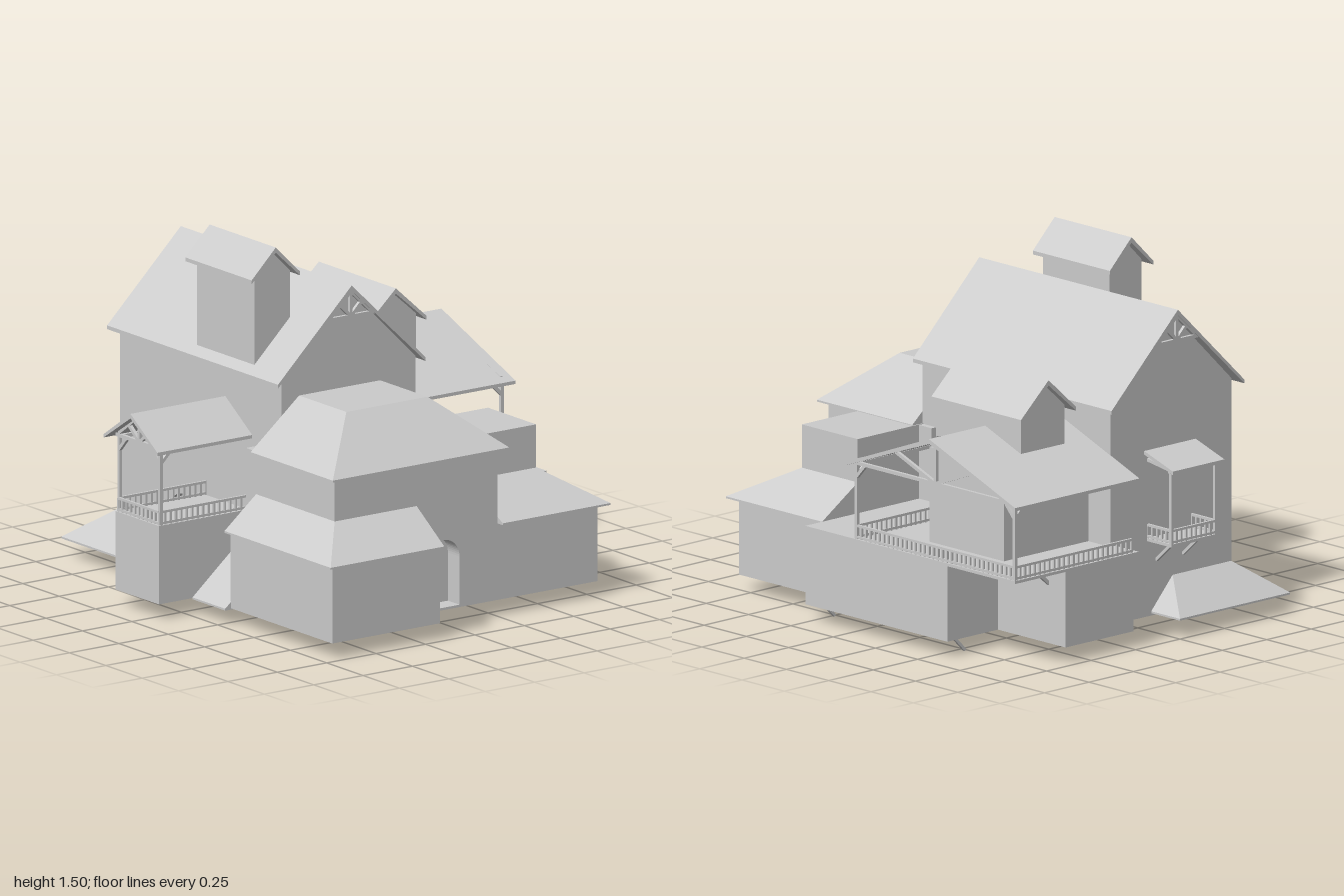
import * as THREE from 'three';
import { mergeGeometries } from 'three/addons/utils/BufferGeometryUtils.js';

const material = new THREE.MeshStandardMaterial({ color: 0xcccccc, flatShading: true });
const V = (x, y, z) => new THREE.Vector3(x, y, z);

export function createModel() {
  const model = new THREE.Group();
  const add = (name, geo) => {
    const mesh = new THREE.Mesh(geo, material);
    mesh.name = name;
    model.add(mesh);
    return mesh;
  };

  // Box given by its limits on each axis
  const boxGeo = (x0, x1, y0, y1, z0, z1) =>
    new THREE.BoxGeometry(x1 - x0, y1 - y0, z1 - z0)
      .translate((x0 + x1) / 2, (y0 + y1) / 2, (z0 + z1) / 2);
  const box = (name, ...limits) => add(name, boxGeo(...limits));

  // Square timber between two points
  const beam = (a, b, t = 0.012) => {
    const q = new THREE.Quaternion().setFromUnitVectors(V(0, 1, 0), b.clone().sub(a).normalize());
    const mid = a.clone().lerp(b, 0.5);
    return new THREE.BoxGeometry(t, a.distanceTo(b), t).applyQuaternion(q).translate(mid.x, mid.y, mid.z);
  };
  const timbers = (name, pairs, t) => add(name, mergeGeometries(pairs.map(([a, b]) => beam(a, b, t))));

  // Hipped roof: rectangle [x0, x1, z0, z1] at y0 narrowing to another at y1, with a thin eave edge
  const hipRoof = (name, low, y0, high, y1) => {
    const geo = new THREE.BoxGeometry(1, 1, 1);
    const p = geo.attributes.position;
    for (let i = 0; i < p.count; i++) {
      const top = p.getY(i) > 0, r = top ? high : low;
      p.setXYZ(i, r[p.getX(i) > 0 ? 1 : 0], top ? y1 : y0, r[p.getZ(i) > 0 ? 3 : 2]);
    }
    geo.computeVertexNormals();
    add(name, geo);
    box(name + 'Eave', low[0], low[1], y0 - 0.008, y0, low[2], low[3]);
  };

  // Two-sloped roof slab; its ridge runs along z, or along x when alongX is set
  const gableRoof = (name, c, half, ridge, eave, from, to, alongX = false, t = 0.016) => {
    const s = new THREE.Shape([[-half, eave], [-half, eave - t], [0, ridge - t * 1.4],
      [half, eave - t], [half, eave], [0, ridge]].map(([x, y]) => new THREE.Vector2(x, y)));
    const geo = new THREE.ExtrudeGeometry(s, { depth: to - from, bevelEnabled: false });
    if (alongX) geo.rotateY(Math.PI / 2).translate(from, 0, c);
    else geo.translate(c, 0, from);
    add(name, geo);
  };

  // Walls with a pointed top
  const gableWall = (name, x0, x1, y0, y1, peak, z0, z1) => {
    const s = new THREE.Shape([[x0, y0], [x1, y0], [x1, y1], [(x0 + x1) / 2, peak], [x0, y1]]
      .map(([x, y]) => new THREE.Vector2(x, y)));
    add(name, new THREE.ExtrudeGeometry(s, { depth: z1 - z0, bevelEnabled: false }).translate(0, 0, z0));
  };

  // Flat wall with arched holes [centre, halfWidth, bottom, top]
  const archWall = (x0, x1, y0, y1, holes, depth) => {
    const s = new THREE.Shape([[x0, y0], [x1, y0], [x1, y1], [x0, y1]].map(([x, y]) => new THREE.Vector2(x, y)));
    for (const [c, r, b, t] of holes) {
      const h = new THREE.Path();
      h.moveTo(c - r, b);
      h.lineTo(c - r, t - r);
      h.absarc(c, t - r, r, Math.PI, 0, true);
      h.lineTo(c + r, b);
      h.closePath();
      s.holes.push(h);
    }
    return new THREE.ExtrudeGeometry(s, { depth, bevelEnabled: false, curveSegments: 14 });
  };

  // Railing with balusters along a path of points
  const railing = (name, pts) => {
    const parts = [];
    for (let i = 0; i + 1 < pts.length; i++) {
      const a = pts[i], b = pts[i + 1];
      const n = Math.max(2, Math.round(a.distanceTo(b) / 0.027));
      for (const h of [0.008, 0.055]) parts.push(beam(a.clone().setY(a.y + h), b.clone().setY(b.y + h), 0.01));
      for (let k = 0; k <= n; k++) {
        const p = a.clone().lerp(b, k / n);
        parts.push(beam(p, p.clone().setY(p.y + 0.055), 0.009));
      }
    }
    add(name, mergeGeometries(parts));
  };

  // Main house: a doorway layer on the left-hand wall and a passage right through
  const passage = [-0.162, 0.082, 0.4, 0.68];
  add('mainHouseDoorWall', archWall(-0.28, 0.83, 0.07, 0.99, [passage, [0.4, 0.08, 0.08, 0.37]], 0.06)
    .rotateY(Math.PI / 2).translate(-0.45, 0, 0));
  add('mainHouseWalls', archWall(-0.28, 0.83, 0.07, 0.99, [passage], 0.62)
    .rotateY(Math.PI / 2).translate(-0.39, 0, 0));
  gableWall('mainGable', -0.45, 0.23, 0.985, 0.99, 1.325, -0.83, 0.28);
  gableRoof('mainRoof', -0.112, 0.373, 1.345, 0.985, -0.87, 0.305);
  for (const z of [0.295, -0.86]) {
    const x = -0.112, y = 1.215;
    timbers('gableTruss', [
      [V(x - 0.12, y, z), V(x + 0.12, y, z)], [V(x, y, z), V(x, 1.33, z)],
      [V(x, y, z), V(x - 0.06, 1.275, z)], [V(x, y, z), V(x + 0.06, 1.275, z)],
      [V(x - 0.11, y, z), V(x, 1.32, z)], [V(x + 0.11, y, z), V(x, 1.32, z)]], 0.014);
  }

  // Roof tower and dormer
  gableWall('roofTower', -0.45, -0.27, 0.95, 1.39, 1.48, -0.30, 0.095);
  gableRoof('roofTowerRoof', -0.36, 0.122, 1.505, 1.385, -0.335, 0.12);
  gableWall('dormer', 0.365, 0.61, 0.78, 1.0, 1.11, -0.70, -0.235);
  gableRoof('dormerRoof', 0.487, 0.155, 1.13, 0.99, -0.735, -0.205);

  // Central front block with arched entrance and truncated hip roof
  add('entranceWall', archWall(-0.57, 0.255, 0.07, 0.71, [[-0.02, 0.082, 0.08, 0.365]], 0.08).translate(0, 0, 0.73));
  box('frontBlock', -0.57, 0.255, 0.07, 0.71, 0.2, 0.73);
  hipRoof('frontRoof', [-0.605, 0.288, 0.28, 0.845], 0.715, [-0.36, 0.05, 0.28, 0.605], 0.915);

  // Low front annexes
  box('frontAnnexRight', -0.70, -0.155, 0.07, 0.40, 0.27, 0.97);
  hipRoof('frontAnnexRightRoof', [-0.73, -0.155, 0.27, 1.0], 0.40, [-0.57, -0.155, 0.27, 0.81], 0.53);
  box('frontAnnexLeft', 0.23, 0.76, 0.07, 0.40, 0.27, 0.81);
  hipRoof('frontAnnexLeftRoof', [0.255, 0.80, 0.275, 0.845], 0.40, [0.255, 0.60, 0.275, 0.605], 0.53);
  box('frontTurret', 0.23, 0.60, 0.5, 0.712, 0.275, 0.605);

  // Left wing: base, veranda room and large open-ended roof
  box('leftWingBase', 0.2, 0.895, 0.07, 0.40, -0.565, 0.275);
  box('leftWingBackBase', 0.228, 0.61, 0.07, 0.39, -0.965, -0.5);
  box('leftVerandaFloor', 0.2, 0.895, 0.388, 0.40, -0.965, 0.0);
  box('leftWingRoom', 0.2, 0.705, 0.4, 0.80, -0.70, -0.26);
  gableRoof('leftWingRoof', -0.49, 0.51, 0.915, 0.72, 0.228, 0.927, true, 0.014);
  railing('leftVerandaRailing', [V(0.23, 0.4, -0.02), V(0.885, 0.4, -0.02), V(0.885, 0.4, -0.955), V(0.23, 0.4, -0.955)]);

  // Right wing: base and covered porch
  box('rightWingBase', -0.90, -0.42, 0.07, 0.40, -0.25, 0.05);
  gableRoof('rightWingRoof', -0.105, 0.185, 0.845, 0.72, -0.93, -0.45, true, 0.014);
  railing('rightPorchRailing', [V(-0.45, 0.4, 0.04), V(-0.89, 0.4, 0.04), V(-0.89, 0.4, -0.24), V(-0.45, 0.4, -0.24)]);

  // Posts, corner braces and open trusses of both porches
  for (const [name, x, s, z0, z1, ridge] of [
    ['leftVerandaFrame', 0.885, 1, -0.955, -0.02, 0.90], ['rightPorchFrame', -0.885, -1, -0.24, 0.04, 0.83]]) {
    const c = (z0 + z1) / 2, q = (z1 - z0) / 4, mid = (0.72 + ridge) / 2;
    const pairs = [[V(x, 0.72, z0 - 0.02), V(x, 0.72, z1 + 0.02)], [V(x, 0.72, c), V(x, ridge, c)]];
    for (const [z, k] of [[z0, 1], [z1, -1]]) {
      pairs.push([V(x, 0.4, z), V(x, 0.73, z)],
        [V(x, 0.66, z), V(x - s * 0.055, 0.715, z)],
        [V(x, 0.66, z), V(x, 0.715, z + k * 0.05)],
        [V(x, 0.72, c), V(x, mid, c - k * q)],
        [V(x, 0.73, z), V(x, ridge, c)],
        [V(x, 0.715, z), V(s * 0.23 - (s < 0 ? 0.22 : 0), 0.715, z)]);
    }
    timbers(name, pairs, 0.014);
  }

  // Small rear balcony with a shed roof
  box('rearBalconyFloor', -0.235, 0.025, 0.388, 0.40, -0.975, -0.83);
  railing('rearBalconyRailing', [V(0.018, 0.4, -0.83), V(0.018, 0.4, -0.968), V(-0.228, 0.4, -0.968), V(-0.228, 0.4, -0.83)]);
  const shed = boxGeo(-0.25, 0.04, 0.70, 0.715, -1, -0.83);
  const sp = shed.attributes.position;
  for (let i = 0; i < sp.count; i++) if (sp.getZ(i) > -0.9) sp.setY(i, sp.getY(i) + 0.055);
  shed.computeVertexNormals();
  add('rearBalconyRoof', shed);
  const rear = [[V(-0.24, 0.705, -0.968), V(0.03, 0.705, -0.968)]];
  for (const x of [-0.228, 0.018]) {
    rear.push([V(x, 0.4, -0.968), V(x, 0.71, -0.968)], [V(x, 0.71, -0.968), V(x, 0.73, -0.83)]);
  }
  for (const x of [-0.18, -0.03]) rear.push([V(x, 0.39, -0.93), V(x, 0.30, -0.83)]);
  timbers('rearBalconyFrame', rear, 0.013);

  // Ground-level roofs and doorstep around the rear right corner
  hipRoof('cellarRoof', [-0.62, 0.0, -1, -0.5], 0.088, [-0.45, -0.12, -0.83, -0.53], 0.22);
  hipRoof('sideLeanTo', [-0.73, -0.44, 0.05, 0.275], 0.073, [-0.46, -0.44, 0.05, 0.275], 0.3);
  box('doorstep', -0.59, -0.45, 0.068, 0.082, -0.5, -0.25);

  // Braces under the overhangs and floor
  timbers('veranda braces', [-0.66, -0.86].map((z) => [V(0.68, 0.385, z), V(0.60, 0.315, z)]), 0.014);
  timbers('floorBraces', [0.24, -0.53].map((z) => [V(0.825, 0.068, z), V(0.765, 0.007, z)]), 0.012);
  box('floorHatch', 0.55, 0.85, 0.064, 0.072, 0.05, 0.27);

  return model;
}
